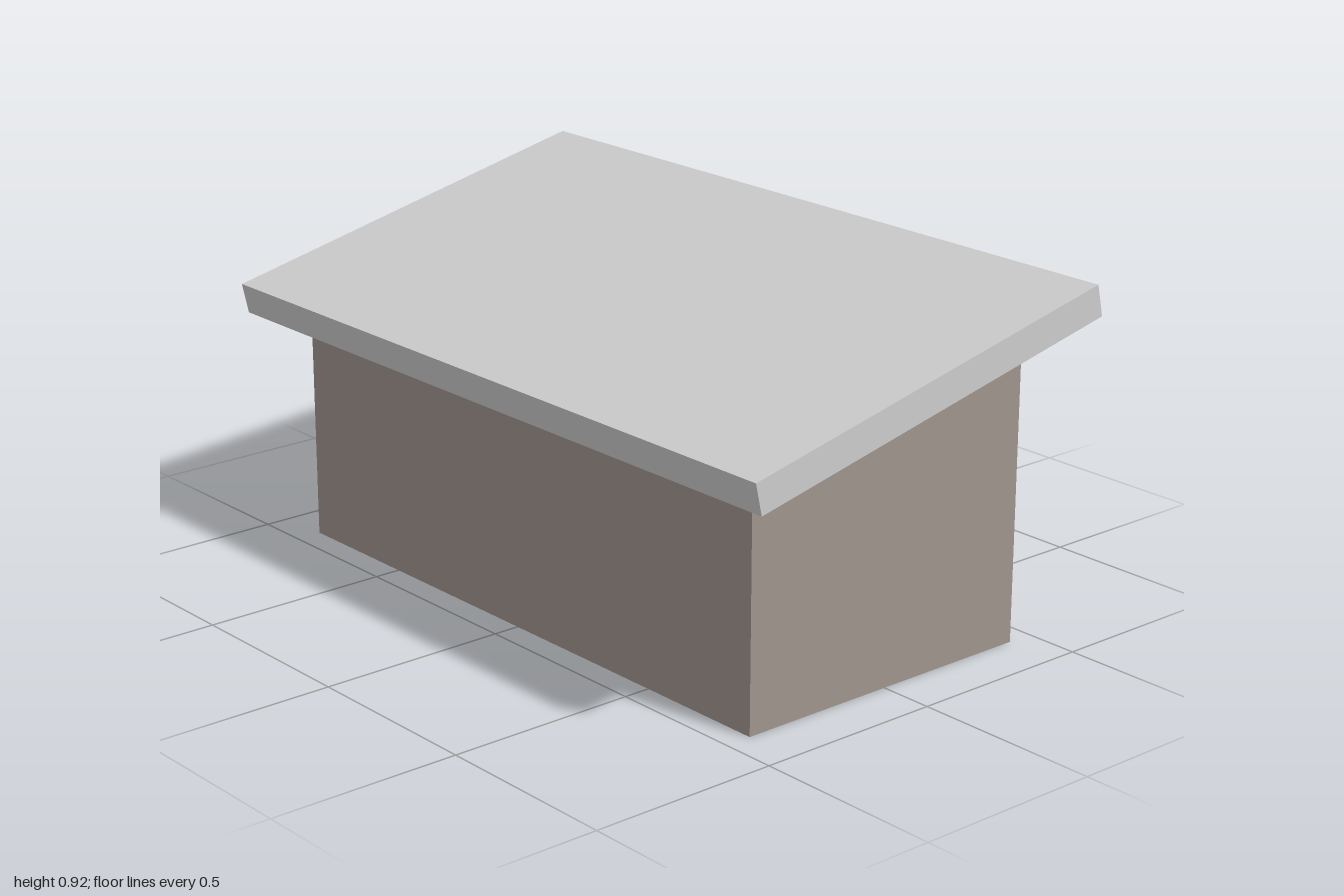
import * as THREE from 'three';

const material = (color) => new THREE.MeshStandardMaterial({ color, side: THREE.DoubleSide });

// Box from min/max corners with some faces left out (0:+x 1:-x 2:+y 3:-y 4:+z 5:-z)
function openBox(min, max, omit) {
  const size = max.map((v, i) => v - min[i]);
  const geo = new THREE.BoxGeometry(...size);
  geo.translate(...max.map((v, i) => (v + min[i]) / 2));
  const index = Array.from(geo.index.array);
  geo.setIndex(index.filter((_, i) => !omit.includes(Math.floor(i / 6))));
  geo.clearGroups();
  return geo;
}

export function createModel() {
  const group = new THREE.Group();
  const grey = material(0xcccccc);
  const wallMat = material(0xa0948d);
  const doorMat = material(0x98929a);

  const add = (name, geo, mat, parent = group) => {
    const mesh = new THREE.Mesh(geo, mat);
    mesh.name = name;
    parent.add(mesh);
    return mesh;
  };

  // Walls: open shell whose top edge follows the roof pitch
  const walls = openBox([-0.43, 0, -0.858], [0.43, 1, 0.858], [2, 3]);
  const p = walls.attributes.position;
  for (let i = 0; i < p.count; i++) {
    if (p.getY(i) > 0.5) p.setY(i, 0.721 + p.getX(i) * 0.222);
  }
  add('walls', walls, wallMat);

  // Roof: tilted slab with fascia all round, hollow underneath
  const roof = add('roof', openBox([-0.5535, -0.0415, -1], [0.5535, 0.0415, 1], [3]), grey);
  roof.position.set(0, 0.764, 0);
  roof.rotation.z = 0.219;

  // Double door and its lintel, open towards the wall and below
  add('doubleDoor', openBox([0.437, 0, -0.76], [0.475, 0.656, -0.145], [1, 2, 3]), doorMat);
  add('lintel', openBox([0.437, 0.656, -0.796], [0.505, 0.72, -0.107], [1, 3]), grey);

  // Door knobs: a round face with a half-round hood over it
  const r = 0.021, depth = 0.025;
  [-0.41, -0.495].forEach((z) => {
    const knob = new THREE.Group();
    knob.name = 'doorKnob';
    knob.position.set(0.475, 0.323, z);
    const hood = new THREE.CylinderGeometry(r, r, depth, 6, 1, true, 0, Math.PI);
    hood.rotateX(Math.PI / 2).rotateZ(Math.PI / 2).rotateY(Math.PI / 2);
    hood.translate(depth / 2, 0, 0);
    add('knobHood', hood, grey, knob);
    const face = new THREE.CircleGeometry(r, 12);
    face.rotateY(Math.PI / 2).translate(depth, 0, 0);
    add('knobFace', face, grey, knob);
    group.add(knob);
  });

  return group;
}
